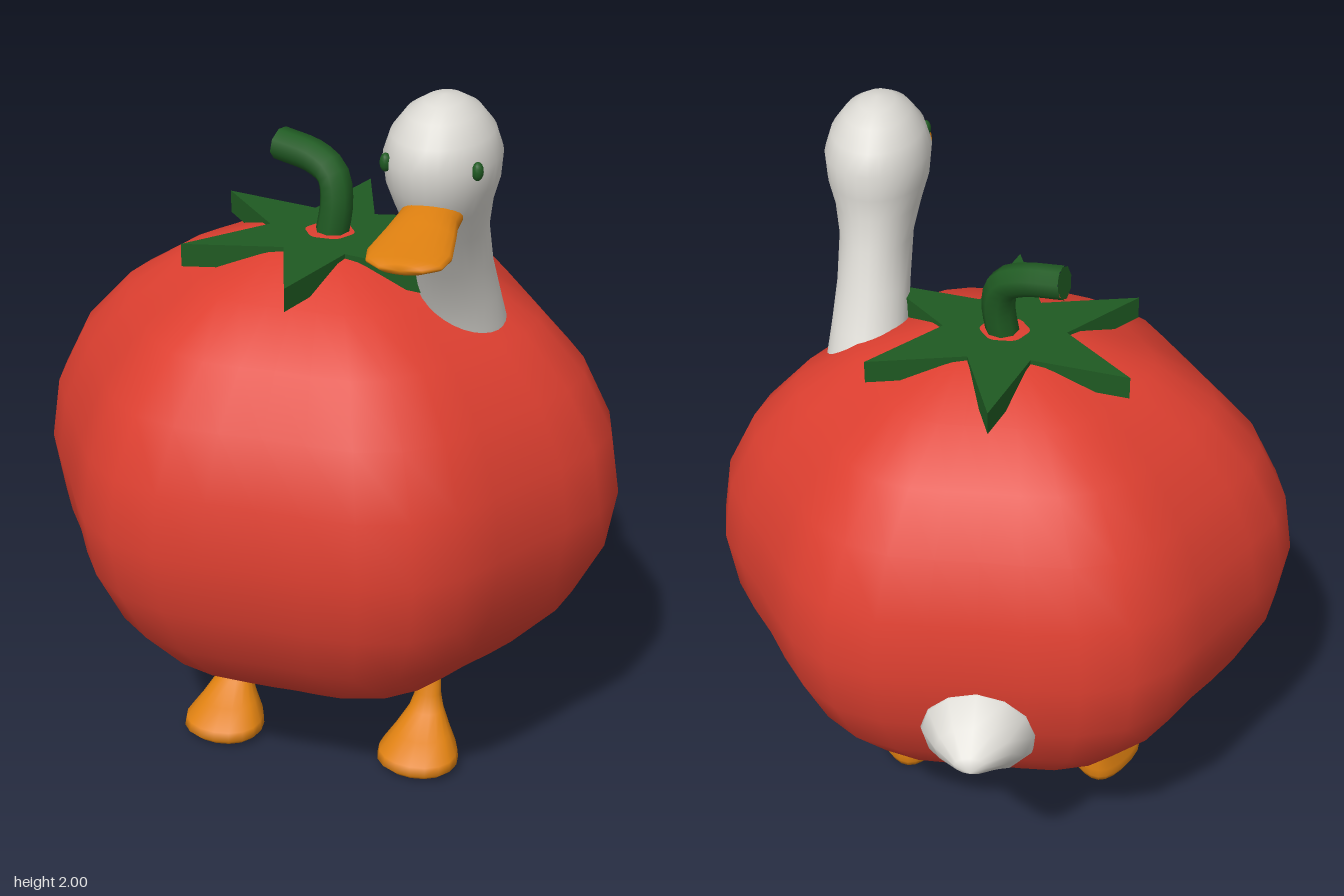
import * as THREE from 'three';
import { mergeVertices } from 'three/addons/utils/BufferGeometryUtils.js';

const paint = (name, color) => {
  const m = new THREE.MeshStandardMaterial({ color });
  m.name = name;
  return m;
};

// Smooth skin over elliptical rings [cx, cy, cz, ru, rv], stacked upward (axis y) or backward (axis z).
function loft(rings, axis, taper = 0, n = 20) {
  const pos = [], index = [];
  rings.forEach(([cx, cy, cz, ru, rv], r) => {
    for (let i = 0; i < n; i++) {
      const t = (i / n) * Math.PI * 2;
      const u = Math.cos(t) * ru * (1 + taper * Math.sin(t)), v = Math.sin(t) * rv;
      if (axis === 'y') pos.push(cx + u, cy, cz + v);
      else pos.push(cx + u, cy + v, cz);
      if (r === rings.length - 1) continue;
      const a = r * n + i, b = r * n + (i + 1) % n;
      index.push(a, a + n, b, b, a + n, b + n);
    }
  });
  let g = new THREE.BufferGeometry();
  g.setAttribute('position', new THREE.Float32BufferAttribute(pos, 3));
  g.setIndex(index);
  g = mergeVertices(g);
  g.computeVertexNormals();
  return g;
}

export function createModel() {
  const red = paint('tomato red', 0xdd3f30);
  const white = paint('feather white', 0xdedcd6);
  const orange = paint('beak orange', 0xde8010);
  const green = paint('leaf green', 0x1f5a22);

  const model = new THREE.Group();
  const add = (name, geometry, material) => {
    const mesh = new THREE.Mesh(geometry, material);
    mesh.name = name;
    model.add(mesh);
    return mesh;
  };

  // Six-lobed tomato body
  let body = new THREE.SphereGeometry(1, 36, 12);
  body.deleteAttribute('uv');
  body.deleteAttribute('normal');
  body = mergeVertices(body);
  const p = body.attributes.position;
  for (let i = 0; i < p.count; i++) {
    const x = p.getX(i), z = p.getZ(i);
    const r = 0.71 + 0.03 * Math.cos(6 * Math.atan2(z, x));
    p.setXYZ(i, x * r * 1.04, 0.885 + p.getY(i) * 0.638, 0.06 + z * r * 0.948);
  }
  body.computeVertexNormals();
  add('body', body, red);

  // Six-pointed leaf crown
  const star = new THREE.Shape();
  for (let i = 0; i < 12; i++) {
    const r = i % 2 ? 0.158 : 0.38, a = Math.PI / 2 + (i * Math.PI) / 6;
    star[i ? 'lineTo' : 'moveTo'](r * Math.cos(a), r * Math.sin(a));
  }
  star.closePath();
  const crown = add('leafCrown', new THREE.ExtrudeGeometry(star, { depth: 0.06, bevelEnabled: false }), green);
  crown.rotation.x = -Math.PI / 2;
  crown.position.set(0, 1.456, 0.06);

  // Bent stem with a closed end
  const path = new THREE.CatmullRomCurve3([
    [0, 1.48, 0.06], [0.015, 1.6, 0.05], [0, 1.66, 0.037], [-0.05, 1.69, 0.015], [-0.155, 1.707, -0.018],
  ].map((v) => new THREE.Vector3(...v)));
  add('stem', new THREE.TubeGeometry(path, 14, 0.043, 8), green);
  const stemEnd = add('stemEnd', new THREE.CircleGeometry(0.043, 8), green);
  stemEnd.position.copy(path.getPoint(1));
  stemEnd.lookAt(path.getPoint(1).add(path.getTangent(1)));

  // Neck flowing into the head
  add('neckAndHead', loft([
    [0.38, 1.28, 0.11, 0.1, 0.1],
    [0.372, 1.37, 0.145, 0.104, 0.102],
    [0.365, 1.45, 0.178, 0.1, 0.103],
    [0.36, 1.55, 0.232, 0.095, 0.112],
    [0.357, 1.66, 0.283, 0.095, 0.135],
    [0.355, 1.74, 0.322, 0.112, 0.153],
    [0.355, 1.8, 0.335, 0.13, 0.17],
    [0.355, 1.865, 0.342, 0.136, 0.177],
    [0.355, 1.92, 0.345, 0.118, 0.16],
    [0.355, 1.965, 0.347, 0.084, 0.118],
    [0.355, 1.99, 0.348, 0.045, 0.068],
    [0.355, 2, 0.348, 0, 0],
  ], 'y', 0, 28), white);

  // Flat, flared bill
  add('bill', loft([
    [0.358, 1.728, 0.735, 0, 0],
    [0.358, 1.728, 0.728, 0.05, 0.012],
    [0.358, 1.73, 0.7, 0.086, 0.016],
    [0.358, 1.734, 0.65, 0.096, 0.02],
    [0.358, 1.743, 0.56, 0.083, 0.029],
    [0.358, 1.75, 0.5, 0.073, 0.038],
    [0.358, 1.752, 0.43, 0.07, 0.04],
  ], 'z', -0.1), orange);

  // Pointed tail
  add('tail', loft([
    [0, 0.7, -0.53, 0, 0],
    [0, 0.7, -0.531, 0.155, 0.16],
    [0, 0.723, -0.585, 0.14, 0.128],
    [0, 0.727, -0.65, 0.098, 0.072],
    [0, 0.73, -0.71, 0.042, 0.026],
    [0, 0.73, -0.735, 0, 0],
  ], 'z', 0, 12), white);

  // Mirrored eyes, legs and webbed feet
  for (const [side, s] of [['left', 1], ['right', -1]]) {
    const eye = add(side + 'Eye', new THREE.SphereGeometry(1, 12, 8), green);
    eye.scale.set(0.014, 0.022, 0.014);
    eye.position.set(0.355 + s * 0.106, 1.865, 0.455);

    const foot = add(side + 'LegAndFoot', loft([
      [0, 0, 0.13, 0, 0],
      [0, 0.005, 0.13, 0.092, 0.112],
      [0, 0.025, 0.135, 0.108, 0.126],
      [0, 0.05, 0.132, 0.104, 0.122],
      [0, 0.085, 0.1, 0.076, 0.09],
      [0, 0.13, 0.063, 0.046, 0.053],
      [0, 0.17, 0.047, 0.034, 0.036],
      [0, 0.252, 0.043, 0.032, 0.032],
      [0, 0.256, 0.043, 0.028, 0.028],
      [0, 0.256, 0.043, 0, 0],
    ], 'y', 0.3), orange);
    foot.position.x = s * 0.282;
  }
  return model;
}
